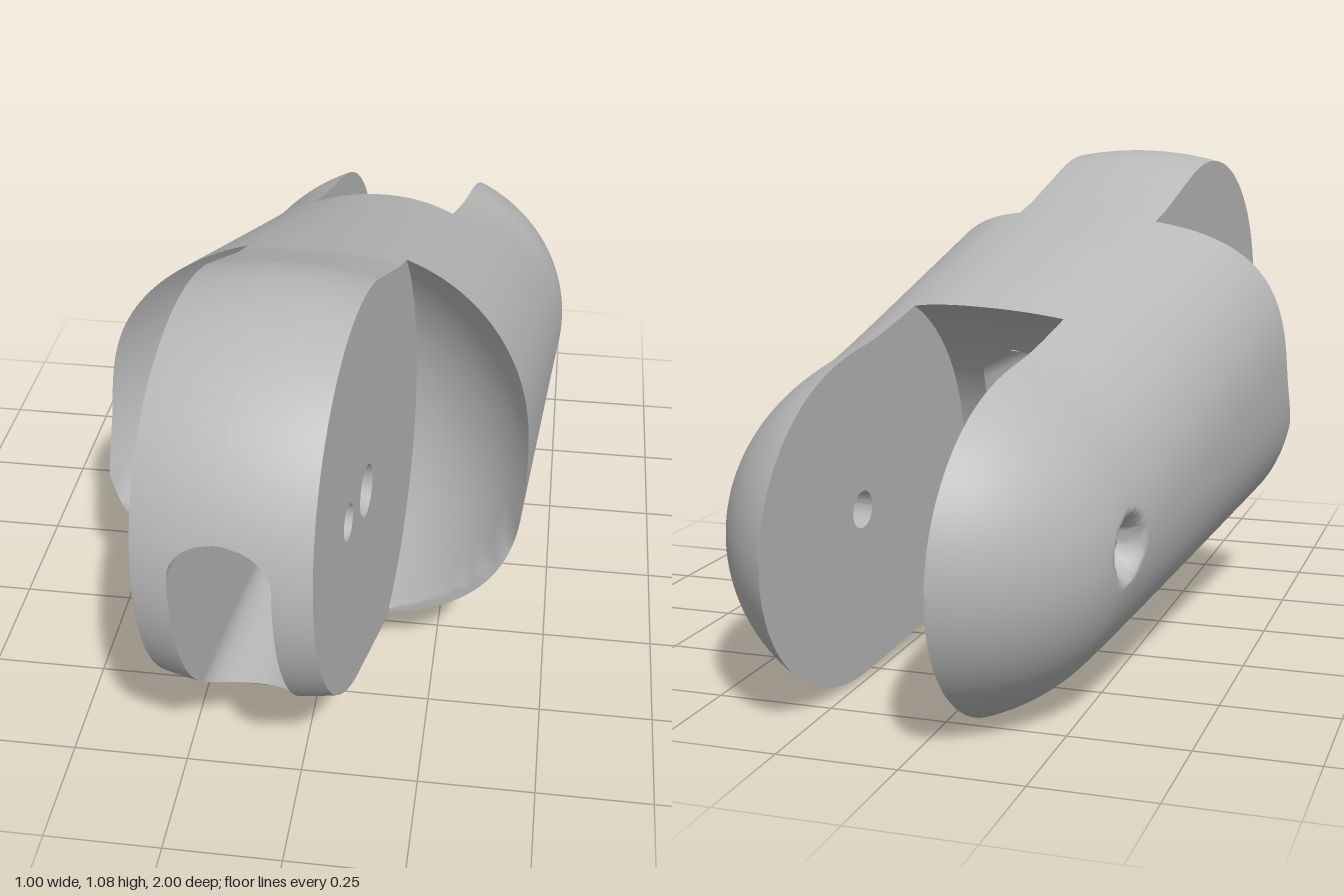
import * as THREE from 'three';

const grey = new THREE.MeshStandardMaterial({ color: 0xb8b8b8, side: THREE.DoubleSide });
grey.name = 'light grey';

const { sin, cos, sqrt, acos, atan2, abs, sign, max, min, PI, hypot } = Math;
const mix = (a, b, t) => a + (b - a) * t;
const HALF = 0.175;                             // half width of the tongue and rear slot
const PIVOT = { z: 0.56, y: 0.65, r: 0.44 };    // rounded front end
const REAR = { z: -0.57, y: 0.38, r: 0.445 };   // clearance between the prongs
const PIN = { z: -0.6, y: 0.38, r: 0.04 };      // prong pin
const HOLES = [{ z: 0.56, y: 0.635, r: 0.055 }, { z: 0.71, y: 0.668, r: 0.038 }];
const FRONT_CH = [0.26, 0.79], MID_CH = [0.265, 0.7], BACK_CH = [0.36, 0.68], LEDGE = 0.4;

// Body section at z: centre height, half height, half width, squareness
function section(z) {
  const d = z + 0.6, k = (d + sqrt(d * d + 0.01)) / 1.8;
  const f = sqrt(max(0, 1 - (max(0, -d) / 0.43) ** 2));
  return { c: mix(0.36, 0.57, k), h: mix(0.385, 0.435, k) * f, w: mix(0.423, 0.468, k) * f, n: mix(2, 2.55, k) };
}
const bodyY = (z, x, s) => {
  const e = section(z);
  return e.c + s * e.h * max(0, 1 - (x / e.w) ** e.n) ** (1 / e.n);
};

// Smooth surface from a function (i, j) -> [x, y, z]
function grid(fn, ni, nj) {
  const pos = [], idx = [];
  for (let i = 0; i <= ni; i++) for (let j = 0; j <= nj; j++) {
    pos.push(...fn(i, j));
    if (i < ni && j < nj) {
      const a = i * (nj + 1) + j, b = a + nj + 1;
      idx.push(a, b, a + 1, b, b + 1, a + 1);
    }
  }
  const g = new THREE.BufferGeometry();
  g.setAttribute('position', new THREE.Float32BufferAttribute(pos, 3));
  g.setIndex(idx);
  g.computeVertexNormals();
  return g;
}

// Flat plate in the plane x, outlined by [z, y] points, with round holes
function plate(points, holes, x) {
  const shape = new THREE.Shape(points.map(p => new THREE.Vector2(p[0], p[1])));
  for (const h of holes) {
    const path = new THREE.Path();
    path.absarc(h.z, h.y, h.r, 0, PI * 2, true);
    shape.holes.push(path);
  }
  return new THREE.ShapeGeometry(shape, 24).rotateY(-PI / 2).translate(x, 0, 0);
}

// Open bore wall running along x from x0 (radius r0) to x1 (radius r1)
const bore = (h, x0, r0, x1, r1) => grid((i, j) => {
  const a = i / 28 * PI * 2, r = mix(r0, r1, j);
  return [mix(x0, x1, j), h.y + r * sin(a), h.z + r * cos(a)];
}, 28, 1);

// Channel opening: half width at height y, and its half outline
function openHalf(y, [y0, y1]) {
  const d = min(y - y0, y1 - y);
  return d <= 0 ? 0 : 0.1 * sqrt(max(0, 1 - max(0, (0.08 - d) / 0.08) ** 2));
}
function openOutline([y0, y1]) {
  const pts = [];
  for (let k = 0; k <= 16; k++) pts.push([0.1 * sin(k / 16 * PI / 2), y0 + 0.08 - 0.08 * cos(k / 16 * PI / 2)]);
  for (let k = 0; k <= 16; k++) pts.push([0.1 * cos(k / 16 * PI / 2), y1 - 0.08 + 0.08 * sin(k / 16 * PI / 2)]);
  return pts;
}

// Where the rear clearance meets the top (s = 1) or underside (s = -1)
const rearZ = y => REAR.z + sqrt(max(0, REAR.r ** 2 - (y - REAR.y) ** 2));
function corner(x, s) {
  let z = -0.35;
  for (let k = 0; k < 40; k++) z = mix(z, rearZ(bodyY(z, x, s)), 0.6);
  return z;
}

// Centre web outline: top of body, round crowned front, underside
const NT = 24, NA = 150, NB = 30, N = NT + NA + NB;
const crown = x => PIVOT.r - 0.6 * x * x;
function outer(i, x) {
  if (i < NT) {
    const z = mix(corner(x, 1), 0.22, i / (NT - 1));
    return [z, bodyY(z, x, 1)];
  }
  if (i <= NT + NA) {
    const a = mix(110, -75, (i - NT) / NA) * PI / 180;
    return [PIVOT.z + crown(x) * cos(a), PIVOT.y + crown(x) * sin(a)];
  }
  const z = mix(0.4, corner(x, -1), (i - NT - NA - 1) / (NB - 1));
  return [z, bodyY(z, x, -1)];
}
const NS = 110;
function rearFloor(i, x) {
  const [a0, a1] = [-1, 1].map(s => {
    const z = corner(x, s);
    return atan2(bodyY(z, x, s) - REAR.y, z - REAR.z);
  });
  const a = mix(a0, a1, i / NS);
  return [REAR.z + REAR.r * cos(a), REAR.y + REAR.r * sin(a)];
}
const frontZ = (x, y) => PIVOT.z + sqrt(max(0, crown(x) ** 2 - (y - PIVOT.y) ** 2));

// Spherical socket face at the front of each shoulder
const socketZ = (x, y) => PIVOT.z - sqrt(max(0.032, 0.285 - x * x - (y - PIVOT.y) ** 2));

// Point on the outside of a shoulder and prong: t runs front to back, v bottom to top
function shoulder(t, v) {
  const at = z => {
    const e = section(z), a = v * acos(min(1, HALF / e.w) ** (e.n / 2)), p = 2 / e.n;
    return [e.w * cos(a) ** p, e.c + e.h * sign(a) * abs(sin(a)) ** p, z];
  };
  if (t > 0.6) return at(-0.6 - 0.43 * sin((t - 0.6) / 0.4 * acos(0.413)));
  let z = 0.3;
  for (let k = 0; k < 25; k++) {
    const p = at(z);
    z = mix(z, socketZ(p[0], p[1]), 0.6);
  }
  return at(mix(z, -0.6, t / 0.6));
}

export function createModel() {
  const model = new THREE.Group();
  model.name = 'fingerLink';
  const add = (name, geometry) => {
    const m = new THREE.Mesh(geometry, grey);
    m.name = name;
    model.add(m);
  };
  const front = openOutline(FRONT_CH), middle = openOutline(MID_CH), back = openOutline(BACK_CH);
  const last = front.length - 1;

  for (const s of [1, -1]) {
    const side = s > 0 ? 'left' : 'right';

    // Centre web and tongue, with the channel mouths left open
    add(side + 'TongueRim', grid((i, j) => {
      const open = i >= NT && i <= NT + NA ? openHalf(outer(i, 0)[1], FRONT_CH) : 0;
      const x = mix(open, HALF, j / 8), [z, y] = outer(i, x);
      return [s * x, y, z];
    }, N, 8));
    add(side + 'RearClearance', grid((i, j) => {
      const x = mix(openHalf(rearFloor(i, 0)[1], BACK_CH), HALF, j / 6), [z, y] = rearFloor(i, x);
      return [s * x, y, z];
    }, NS, 6));
    const outline = [];
    for (let i = 0; i <= N; i++) outline.push(outer(i, HALF));
    for (let i = 1; i < NS; i++) outline.push(rearFloor(i, HALF));
    const cheekHoles = HOLES.map((h, k) => s < 0 && k === 1 ? { ...h, r: 0.075 } : h);
    add(side + 'TongueCheek', plate(outline, cheekHoles, s * HALF));
    HOLES.forEach((h, k) => add(side + 'TongueBore', bore(h, s * HALF, cheekHoles[k].r, s * 0.1, h.r)));

    // Channel through the tongue: rounded ends, drilled side wall, ledge, narrowing part
    for (const start of [0, 17]) add(side + 'ChannelEnd', grid((i, j) => {
      const [x, y] = front[start + i];
      return [s * x, y, mix(frontZ(x, y), LEDGE, j / 4)];
    }, 16, 4));
    const wall = [];
    for (let k = 0; k <= 20; k++) {
      const y = mix(FRONT_CH[0] + 0.08, FRONT_CH[1] - 0.08, k / 20);
      wall.push([frontZ(0.1, y), y]);
    }
    wall.push([LEDGE, FRONT_CH[1] - 0.08], [LEDGE, FRONT_CH[0] + 0.08]);
    add(side + 'ChannelWall', plate(wall, HOLES, s * 0.1));
    add(side + 'ChannelLedge', grid((i, j) => {
      const [x, y] = j ? middle[i] : front[i];
      return [s * x, y, LEDGE];
    }, last, 1));
    add(side + 'NarrowChannel', grid((i, j) => {
      const [x, y] = back[i], t = j / 6;
      return [s * x, mix(middle[i][1], y, t), mix(LEDGE, rearZ(y), t)];
    }, last, 6));

    // Shoulder and prong skin, with a countersink on one side
    const NI = 120, NJ = 90;
    add(side + 'ProngShell', grid((i, j) => {
      let [x, y, z] = shoulder(i / NI, j / NJ * 2 - 1);
      const d = hypot(z - PIN.z, y - PIN.y);
      if (s < 0 && d < 0.07) x = min(x, d < 0.042 ? 0.32 : mix(0.37, 0.425, (d - 0.042) / 0.028));
      return [s * x, y, z];
    }, NI, NJ));
    add(side + 'ShoulderSocket', grid((i, j) => {
      const [xr, y, zr] = shoulder(0, i / 60 * 2 - 1), x = mix(HALF, xr, j / 12);
      return [s * x, y, j === 12 ? zr : socketZ(x, y)];
    }, 60, 12));

    // Flat inner face of the prong with a blind pin hole
    const edge = [];
    for (let i = 0; i <= NI; i++) edge.push(shoulder(i / NI, 1));
    for (let i = NI - 1; i >= 0; i--) edge.push(shoulder(i / NI, -1));
    add(side + 'ProngInnerFace', plate(edge.map(p => [p[2], p[1]]), [PIN], s * HALF));
    add(side + 'PinBore', bore(PIN, s * HALF, PIN.r, s * 0.3, PIN.r));
    add(side + 'PinBoreEnd', bore(PIN, s * 0.3, PIN.r, s * 0.3, 0));
  }

  // Slight turn and roll of the whole link
  model.rotation.set(0, -0.107, 0.03);
  model.position.x = 0.02;
  const root = new THREE.Group();
  root.name = 'link';
  root.add(model);
  return root;
}
